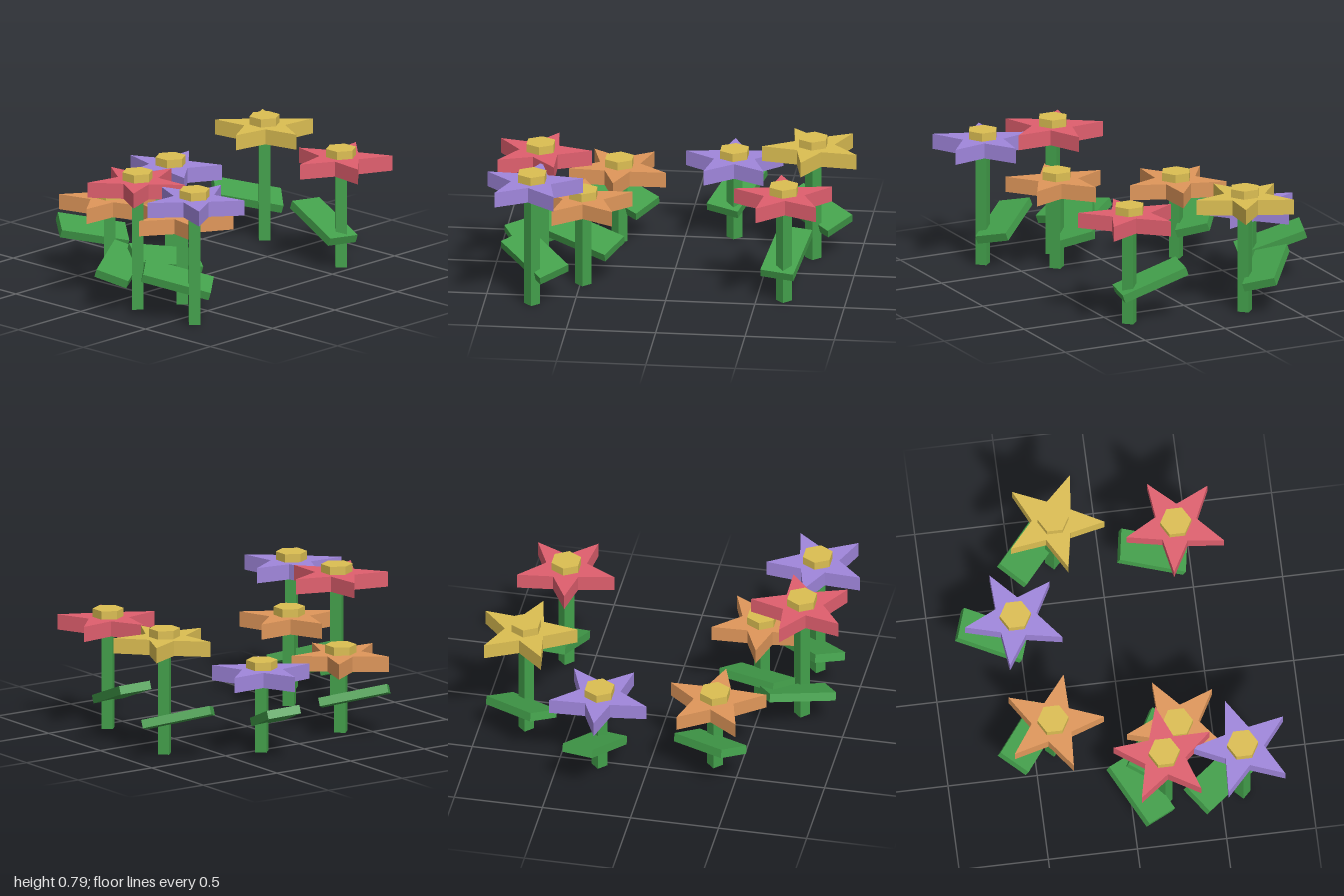
import * as THREE from 'three';

const flat = (name, color) => {
  const m = new THREE.MeshStandardMaterial({ color, flatShading: true });
  m.name = name;
  return m;
};

// Five-pointed star lying flat, bottom at y = 0
function starGeometry(outer, inner, height) {
  const points = [];
  for (let i = 0; i < 10; i++) {
    const a = (i * Math.PI) / 5, r = i % 2 ? inner : outer;
    points.push(new THREE.Vector2(r * Math.cos(a), r * Math.sin(a)));
  }
  const geo = new THREE.ExtrudeGeometry(new THREE.Shape(points), { depth: height, bevelEnabled: false });
  return geo.rotateX(Math.PI / 2).translate(0, height, 0);
}

export function createModel() {
  const green = flat('leaf green', 0x43a04b);
  const yellow = flat('yellow', 0xdcbe52);
  const red = flat('red', 0xe05f6e);
  const purple = flat('purple', 0xa086dc);
  const orange = flat('orange', 0xe0975a);

  const petalHeight = 0.087;
  const petals = starGeometry(0.286, 0.119, petalHeight);
  const centre = new THREE.CylinderGeometry(0.087, 0.087, 0.047, 6).rotateY(Math.PI / 2);
  const leaf = new THREE.BoxGeometry(0.39, 0.048, 0.19);

  // x, z, underside of petals, petal turn, leaf turn (degrees), petal colour
  const flowers = [
    [-0.256, -0.743, 0.582, 8, 50, yellow],
    [0.42, -0.653, 0.55, 27, -10, red],
    [-0.527, -0.272, 0.39, 31, -19, purple],
    [-0.394, 0.357, 0.364, 1, 53, orange],
    [0.288, 0.484, 0.43, 31.5, 61, orange],
    [0.183, 0.733, 0.66, 51, -60, red],
    [0.622, 0.733, 0.645, 41, 40, purple],
  ];

  const model = new THREE.Group();
  model.name = 'flowers';
  for (const [x, z, y, petalTurn, leafTurn, colour] of flowers) {
    const flower = new THREE.Group();
    flower.name = 'flower';
    flower.position.set(x, 0, z);
    const add = (name, geo, mat, px, py) => {
      const mesh = new THREE.Mesh(geo, mat);
      mesh.name = name;
      mesh.position.set(px, py, 0);
      flower.add(mesh);
      return mesh;
    };

    // Four-sided stem
    add('stem', new THREE.CylinderGeometry(0.045, 0.045, y, 4), green, 0, y / 2);

    // Star of petals and hexagonal centre
    add('petals', petals, colour, 0, y).rotation.y = -THREE.MathUtils.degToRad(petalTurn);
    add('flowerCentre', centre, yellow, 0, y + petalHeight + 0.0235);

    // Leaf turned in its own plane, then tilted up toward -x
    add('leaf', leaf, green, -0.132, 0.23)
      .rotation.set(0, THREE.MathUtils.degToRad(leafTurn), -0.35, 'ZYX');

    model.add(flower);
  }
  return model;
}
